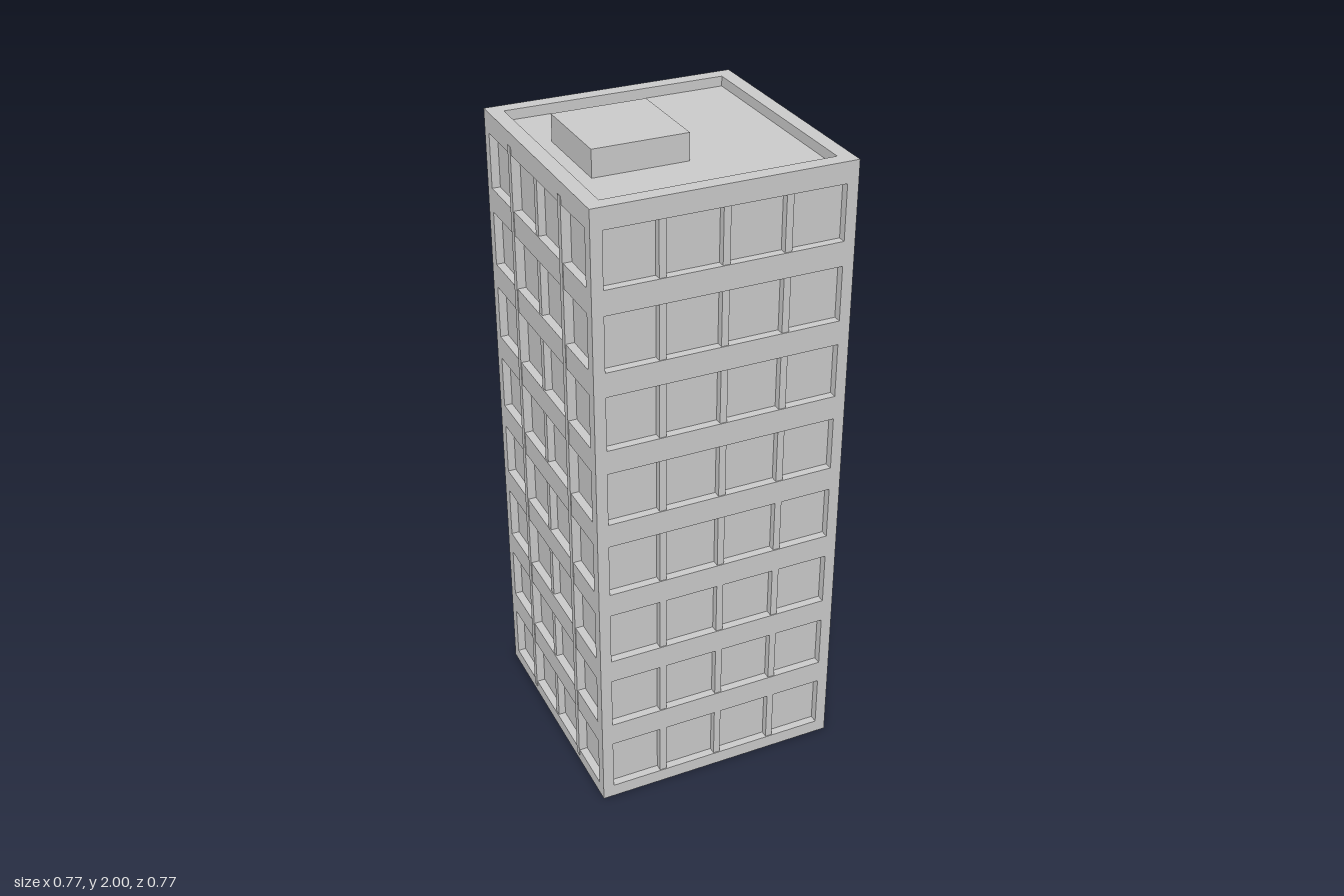
import * as THREE from 'three';

const HALF = 0.384;      // half width of the tower
const WALL = 0.025;      // depth of the window recesses
const DECK = 1.92;       // roof deck height
const PARAPET = 1.905;   // underside of the parapet ring
const TOP = 1.95;
const FLOORS = 8;

const material = new THREE.MeshStandardMaterial({ color: 0xcccccc, flatShading: true });

function rectangle(Type, x0, y0, x1, y1) {
  const r = new Type();
  r.moveTo(x0, y0);
  r.lineTo(x1, y0);
  r.lineTo(x1, y1);
  r.lineTo(x0, y1);
  r.closePath();
  return r;
}

function addMesh(parent, name, geometry, x = 0, y = 0, z = 0) {
  const mesh = new THREE.Mesh(geometry, material);
  mesh.name = name;
  mesh.position.set(x, y, z);
  parent.add(mesh);
  return mesh;
}

// One outer wall with a window band per floor, divided by upright mullions
function facade(name, halfWidth, outerMullionProud) {
  const group = new THREE.Group();
  group.name = name;
  const shape = rectangle(THREE.Shape, -halfWidth, 0, halfWidth, PARAPET);
  for (let i = 0; i < FLOORS; i++) {
    const y = 0.041 + 0.24 * i;
    shape.holes.push(rectangle(THREE.Path, -0.35, y, 0.35, y + 0.166));
  }
  const wall = new THREE.ExtrudeGeometry(shape, { depth: WALL, bevelEnabled: false });
  addMesh(group, 'wall', wall, 0, 0, HALF - WALL);

  for (const x of [-0.183, 0, 0.183]) {
    const proud = x === 0 ? -0.003 : outerMullionProud;
    const depth = WALL + proud;
    addMesh(group, 'mullion', new THREE.BoxGeometry(0.021, 1.89, depth),
      x, 0.965, HALF - WALL + depth / 2);
  }
  return group;
}

export function createModel() {
  const model = new THREE.Group();
  model.name = 'towerBlock';

  // Inner core: window panes, roof deck and underside
  const core = 2 * (HALF - WALL);
  addMesh(model, 'core', new THREE.BoxGeometry(core, DECK, core), 0, DECK / 2, 0);

  // Four facades; the side walls fit between the front and back walls
  ['frontFacade', 'leftFacade', 'backFacade', 'rightFacade'].forEach((name, i) => {
    const side = i % 2 === 1;
    const wall = facade(name, side ? HALF - WALL : HALF, i === 3 ? 0.002 : -0.003);
    wall.rotation.y = i * Math.PI / 2;
    model.add(wall);
  });

  // Parapet ring around the roof
  const ring = rectangle(THREE.Shape, -HALF, -HALF, HALF, HALF);
  ring.holes.push(rectangle(THREE.Path, -0.34, -0.34, 0.34, 0.34));
  const parapet = new THREE.ExtrudeGeometry(ring, { depth: TOP - PARAPET, bevelEnabled: false });
  parapet.rotateX(-Math.PI / 2);
  addMesh(model, 'parapet', parapet, 0, PARAPET, 0);

  // Rooftop plant room
  addMesh(model, 'plantRoom', new THREE.BoxGeometry(0.282, 0.09, 0.282), -0.135, 1.955, 0);

  return model;
}
